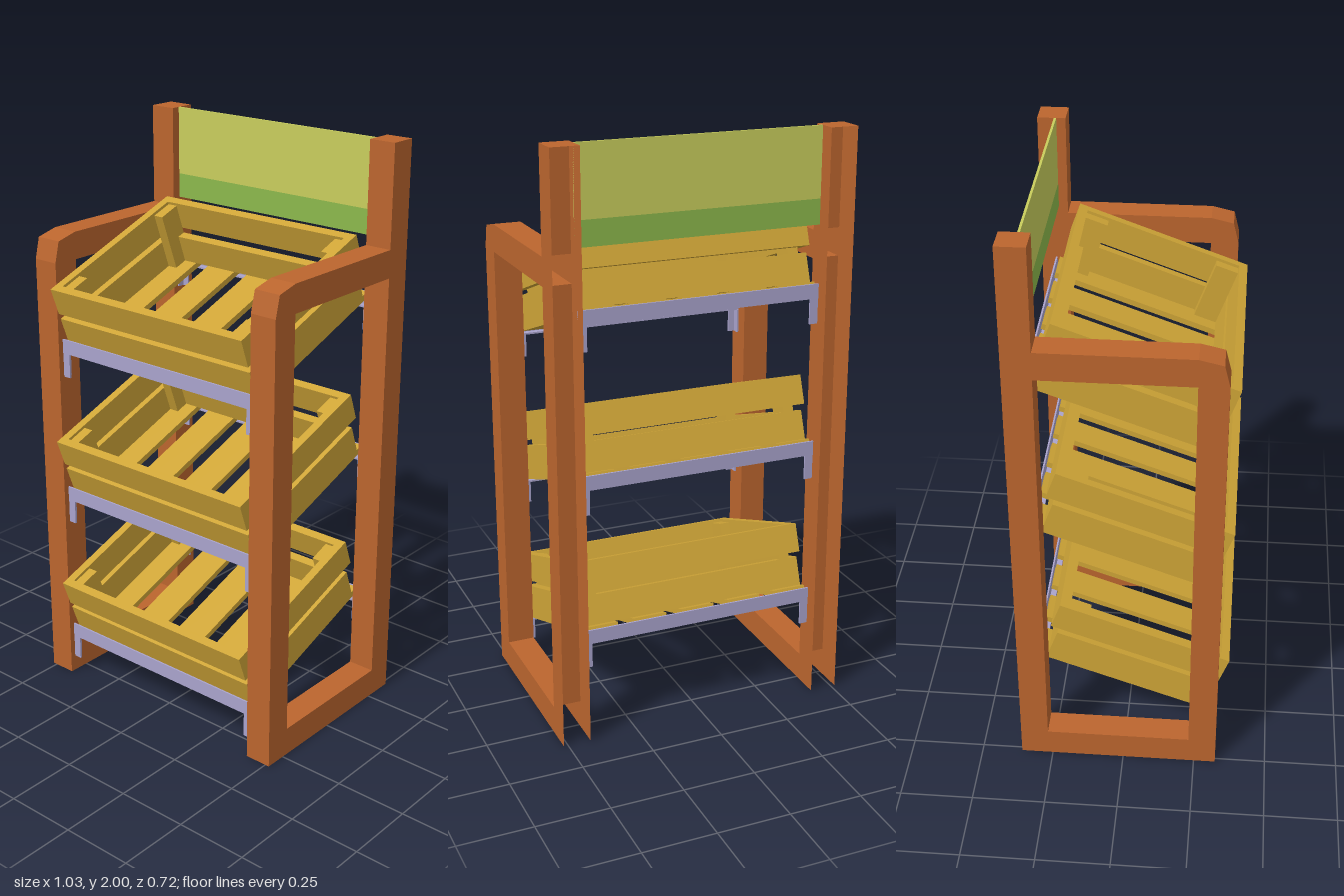
import * as THREE from 'three';

const mat = (name, color, side = THREE.FrontSide) => {
  const m = new THREE.MeshStandardMaterial({ color, side });
  m.name = name;
  return m;
};

export function createModel() {
  const frameWood = mat('frame wood', 0xbb652e, THREE.DoubleSide);
  const crateWood = mat('crate wood', 0xcfa537);
  const metal = mat('bracket metal', 0xa9a3cc);
  const lime = mat('sign lime', 0xc8cd5c);
  const green = mat('sign green', 0x8cb84c);

  const model = new THREE.Group();
  model.name = 'crateStand';

  // Box given by its min and max on each axis
  const box = (parent, name, material, [x0, x1], [y0, y1], [z0, z1]) => {
    const m = new THREE.Mesh(new THREE.BoxGeometry(x1 - x0, y1 - y0, z1 - z0), material);
    m.position.set((x0 + x1) / 2, (y0 + y1) / 2, (z0 + z1) / 2);
    m.name = name;
    parent.add(m);
    return m;
  };

  // Side frames: hollow sections, open at the back and underneath. Points are [z, y].
  const outline = [[0.325, 0], [0.325, 1.565], [0.307, 1.637], [0.23, 1.655],
    [-0.265, 1.655], [-0.265, 2], [-0.36, 2]];
  const opening = [[0.23, 0.1], [0.23, 1.56], [-0.265, 1.56], [-0.265, 0.1], [0.23, 0.1]];
  const toVec = (pts) => pts.map(([z, y]) => new THREE.Vector2(z, y));
  const X0 = 0.42, X1 = 0.515;

  const strip = (pts) => {
    const pos = [];
    for (let i = 0; i < pts.length - 1; i++) {
      const [za, ya] = pts[i], [zb, yb] = pts[i + 1];
      pos.push(X0, ya, za, X1, ya, za, X1, yb, zb, X0, ya, za, X1, yb, zb, X0, yb, zb);
    }
    const g = new THREE.BufferGeometry();
    g.setAttribute('position', new THREE.Float32BufferAttribute(pos, 3));
    g.computeVertexNormals();
    return g;
  };

  const sideShape = new THREE.Shape(toVec([...outline, [-0.36, 0]]));
  sideShape.holes.push(new THREE.Path(toVec(opening)));
  for (const s of [-1, 1]) {
    const frame = new THREE.Group();
    frame.name = s > 0 ? 'leftFrame' : 'rightFrame';
    for (const x of [X0, X1]) {
      const face = new THREE.Mesh(new THREE.ShapeGeometry(sideShape).rotateY(-Math.PI / 2), frameWood);
      face.position.x = s * x;
      face.name = x === X0 ? 'innerFace' : 'outerFace';
      frame.add(face);
    }
    for (const [name, pts] of [['outerEdge', outline], ['openingEdge', opening]]) {
      const edge = new THREE.Mesh(strip(pts), frameWood);
      edge.position.x = s > 0 ? 0 : -(X0 + X1);
      edge.name = name;
      frame.add(edge);
    }
    model.add(frame);
  }

  // Sign board between the back posts
  box(model, 'signUpper', lime, [-0.42, 0.42], [1.765, 2], [-0.304, -0.296]);
  box(model, 'signLower', green, [-0.42, 0.42], [1.68, 1.765], [-0.304, -0.296]);

  // Slatted crate, origin at its top front edge
  const W = 0.412, T = 0.03, L = 0.618;
  const makeCrate = () => {
    const c = new THREE.Group();
    c.name = 'crate';
    for (const [i, y] of [[-0.1, 0], [-0.22, -0.12]].entries()) {
      const span = [y[0], y[1]];
      const back = -L + i * T;
      box(c, 'frontSlat', crateWood, [-W, W], span, [-T, 0]);
      box(c, 'backSlat', crateWood, [-W, W], span, [back, back + T]);
      for (const s of [-1, 1]) {
        const x = s > 0 ? [W - T, W] : [-W, T - W];
        box(c, 'sideSlat', crateWood, x, span, [back + T, -T]);
      }
    }
    for (const s of [-1, 1]) {
      const x = s > 0 ? [0.345, W - T] : [T - W, -0.345];
      box(c, 'cornerPost', crateWood, x, [-0.22, -0.01], [-0.11, -T]);
      box(c, 'cornerPost', crateWood, x, [-0.22, -0.01], [T - L, 0.11 - L]);
    }
    for (let i = -2; i <= 2; i++) {
      const x = i * 0.176;
      box(c, 'floorSlat', crateWood, [x - 0.06, x + 0.06], [-0.24, -0.22], [-L, 0]);
    }
    return c;
  };

  // Angle bracket: upright lip, ledge underneath and a hanging tab at each end
  const makeBracket = (top, z, dir) => {
    const b = new THREE.Group();
    b.name = dir > 0 ? 'frontBracket' : 'backBracket';
    const t = 0.006;
    const range = (a, c) => [Math.min(a, c), Math.max(a, c)];
    box(b, 'lip', metal, [-0.42, 0.42], [top - 0.05, top], range(z, z - dir * t));
    box(b, 'ledge', metal, [-0.42, 0.42], [top - 0.05, top - 0.05 + t], range(z - dir * t, z - dir * 0.027));
    for (const s of [-1, 1]) {
      box(b, 'tabFace', metal, range(s * 0.39, s * 0.419), [top - 0.135, top - 0.05], range(z, z - dir * t));
      box(b, 'tabSide', metal, range(s * 0.413, s * 0.419), [top - 0.135, top - 0.05], range(z - dir * t, z - dir * 0.03));
    }
    return b;
  };

  // Three tilted tiers
  for (let i = 0; i < 3; i++) {
    const y = i * 0.55;
    const crate = makeCrate();
    crate.position.set(0, y + 0.385, 0.36);
    crate.rotation.x = THREE.MathUtils.degToRad(20);
    model.add(crate);
    model.add(makeBracket(y + 0.195, 0.306, 1));
    model.add(makeBracket(y + 0.385, -0.312, -1));
  }
  return model;
}
